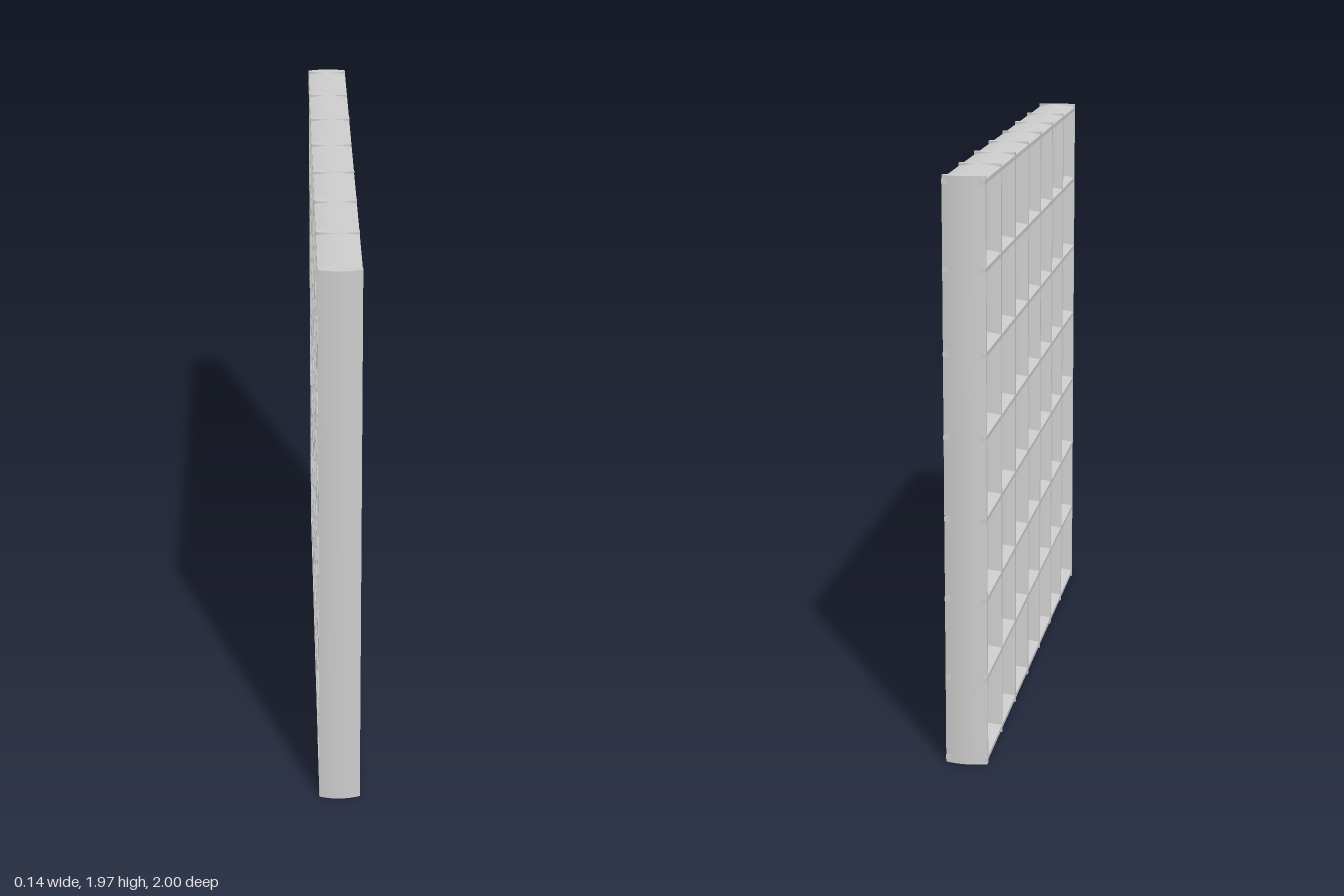
import * as THREE from 'three';
import { toCreasedNormals } from 'three/addons/utils/BufferGeometryUtils.js';

const HALF_DEPTH = 0.07; // slat half width along x
const HALF_TIP = 0.007;  // half thickness of the blunt slat edges

// Lens-shaped slat with blunt edges, extruded along +z from the origin
function slatGeometry(halfThickness, length) {
  const d = HALF_DEPTH, t = HALF_TIP;
  const control = 2 * halfThickness - t;
  const shape = new THREE.Shape();
  shape.moveTo(-d, -t);
  shape.quadraticCurveTo(0, -control, d, -t);
  shape.lineTo(d, t);
  shape.quadraticCurveTo(0, control, -d, t);
  shape.closePath();
  const geometry = new THREE.ExtrudeGeometry(shape, { depth: length, bevelEnabled: false, curveSegments: 10 });
  return toCreasedNormals(geometry, 0.5);
}

export function createModel() {
  const model = new THREE.Group();
  model.name = 'latticePanel';
  const material = new THREE.MeshStandardMaterial({ color: 0xcccccc });

  // Upright slats: two frame posts and six evenly spaced dividers
  const uprights = new THREE.Group();
  uprights.name = 'uprightSlats';
  const uprightGeometry = slatGeometry(0.02, 1.97).rotateX(-Math.PI / 2);
  const uprightZ = [-0.98, 0.98];
  for (let i = 0; i < 6; i++) uprightZ.push(-0.703 + i * 0.2745);
  uprightZ.forEach((z, i) => {
    const slat = new THREE.Mesh(uprightGeometry, material);
    slat.name = i < 2 ? 'sidePost' : 'uprightSlat';
    slat.position.z = z;
    uprights.add(slat);
  });

  // Cross slats: bottom and top rails and six evenly spaced dividers
  const crossSlats = new THREE.Group();
  crossSlats.name = 'crossSlats';
  const crossGeometry = slatGeometry(0.0185, 1.975);
  const crossY = [0.0185, 1.9515];
  for (let i = 0; i < 6; i++) crossY.push(0.302 + i * 0.2738);
  crossY.forEach((y, i) => {
    const slat = new THREE.Mesh(crossGeometry, material);
    slat.name = ['bottomRail', 'topRail'][i] ?? 'crossSlat';
    slat.position.set(0, y, -0.993);
    crossSlats.add(slat);
  });

  model.add(uprights, crossSlats);
  return model;
}
